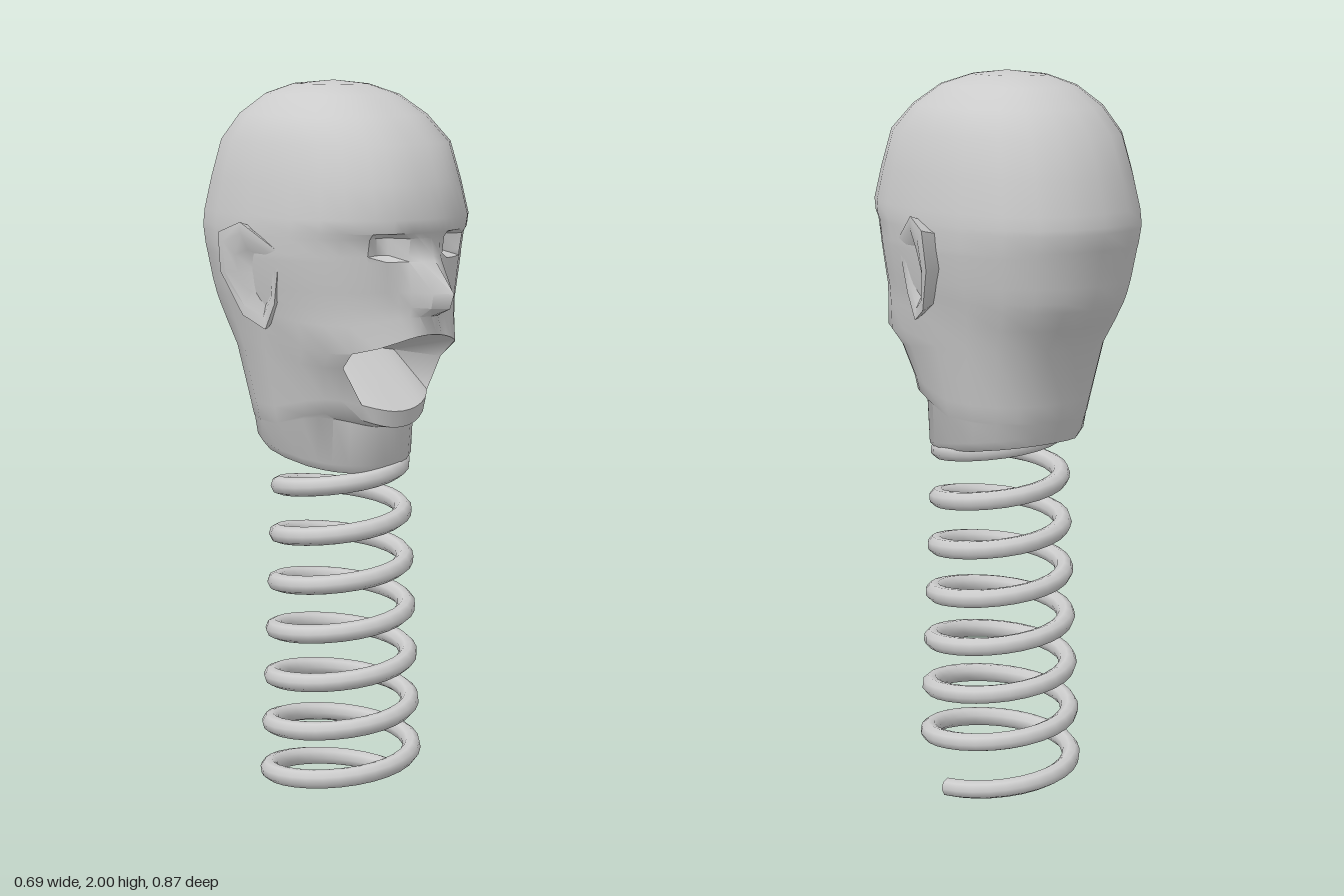
import * as THREE from 'three';
import { toCreasedNormals } from 'three/addons/utils/BufferGeometryUtils.js';

const material = new THREE.MeshStandardMaterial({ color: 0xcccccc, side: THREE.DoubleSide });

// Skin a list of closed loops with equal point counts
function loft(loops, crease) {
  const n = loops[0].length, index = [];
  for (let j = 0; j < loops.length - 1; j++) {
    for (let i = 0; i < n; i++) {
      const k = (i + 1) % n, a = j * n, b = a + n;
      index.push(a + i, b + i, b + k, a + i, b + k, a + k);
    }
  }
  const geo = new THREE.BufferGeometry();
  geo.setAttribute('position', new THREE.Float32BufferAttribute(loops.flat(2), 3));
  geo.setIndex(index);
  return toCreasedNormals(geo, crease);
}

function addMesh(parent, name, geometry) {
  const mesh = new THREE.Mesh(geometry, material);
  mesh.name = name;
  parent.add(mesh);
  return mesh;
}

// Column angles around the head, denser across the face
const half = [0, 5, 9, 14, 20, 30, 44, 56, 70, 90, 110, 130, 147, 164];
const columns = [
  ...half.map((a, i) => [a, i]), [180, 14],
  ...half.slice(1).map((a, i) => [360 - a, i + 1]).reverse(),
];

// Head rings, top to bottom: half width, front z, back z, then face features
const rings = [
  { y: 2.0, w: 0.001, f: -0.039, b: -0.041 },
  { y: 1.99, w: 0.09, f: 0.05, b: -0.16 },
  { y: 1.963, w: 0.16, f: 0.14, b: -0.24 },
  { y: 1.91, w: 0.225, f: 0.22, b: -0.31 },
  { y: 1.84, w: 0.265, f: 0.3, b: -0.37 },
  { y: 1.74, w: 0.285, f: 0.335, b: -0.405 },
  { y: 1.65, w: 0.3, f: 0.36, b: -0.43 },
  { y: 1.615, w: 0.302, f: 0.35, b: -0.435, nose: 0.005 },
  { y: 1.6, w: 0.302, f: 0.335, b: -0.435, nose: 0.01, eye: 0.05 },
  { y: 1.555, w: 0.3, f: 0.325, b: -0.425, nose: 0.03, eye: 0.04 },
  { y: 1.54, w: 0.298, f: 0.325, b: -0.42, nose: 0.04 },
  { y: 1.46, w: 0.283, f: 0.32, b: -0.405, nose: 0.115 },
  { y: 1.42, w: 0.273, f: 0.32, b: -0.395, nose: 0.1 },
  { y: 1.395, w: 0.266, f: 0.325, b: -0.385, nose: 0.025, bend: -0.8 },
  { y: 1.345, w: 0.255, f: 0.34, b: -0.355, bend: -1.8 },
  { y: 1.28, w: 0.242, f: 0.28, b: -0.31, bend: -1, mouth: 0.06 },
  { y: 1.13, w: 0.212, f: 0.24, b: -0.272, bend: 2 },
  { y: 1.085, w: 0.203, f: 0.232, b: -0.262, bend: 2.5 },
  { y: 1.08, w: 0.2, f: 0.18, b: -0.26, bend: 2 },
  { y: 1.01, w: 0.198, f: 0.17, b: -0.245, tilt: 0.16 },
  { y: 0.985, w: 0.175, f: 0.16, b: -0.235, tilt: 0.16 },
  { y: 1.01, w: 0.155, f: 0.13, b: -0.2, tilt: 0.1 },
  { y: 1.1, w: 0.15, f: 0.12, b: -0.19 },
  { y: 1.12, w: 0.001, f: -0.039, b: -0.041 },
];

function headGeometry() {
  const noseShape = [1, 0.65, 0.15];
  const power = (v) => Math.sign(v) * Math.abs(v) ** 0.87;
  const mid = -0.04;
  const loops = rings.map((r) => columns.map(([deg, i]) => {
    const a = THREE.MathUtils.degToRad(deg), c = power(Math.cos(a));
    const x = r.w * power(Math.sin(a));
    let z = mid + c * (c > 0 ? r.f - mid : mid - r.b);
    z += (r.nose || 0) * (noseShape[i] || 0);
    if (r.eye && (i === 3 || i === 4)) z -= r.eye;
    if (r.mouth && i < 6) z = r.mouth;
    const y = r.y + (r.bend || 0) * x * x * Math.max(0, Math.cos(a)) - (r.tilt || 0) * (z - mid);
    return [x, y, z];
  }));
  return loft(loops, 0.95);
}

// Ear: outline in z and y, flared away from the head toward the back
function earGeometry() {
  const outline = [[-0.04, 1.635], [-0.11, 1.605], [-0.115, 1.5], [-0.06, 1.385],
    [0.005, 1.35], [0.04, 1.42], [0.07, 1.56]];
  const cz = -0.025, cy = 1.5;
  const loop = (scale, dx, flat) => outline.map(([z, y]) => {
    const rim = 0.29 + (0.07 - z) * 0.31 + (y - 1.6) * 0.12;
    return [(flat ?? rim) + dx, cy + (y - cy) * scale, cz + (z - cz) * scale];
  });
  return loft([loop(0.75, 0, 0.23), loop(0.97, -0.012), loop(1, 0),
    loop(0.78, 0), loop(0.45, -0.02), loop(0.01, 0, 0.283)], 0.8);
}

// Spring: helix that narrows as it rises into the neck
class Helix extends THREE.Curve {
  getPoint(t, target = new THREE.Vector3()) {
    const turns = 7.6, a = t * turns * Math.PI * 2 + 0.1;
    const r = 0.204 - 0.042 * t;
    return target.set(r * Math.cos(a) - 0.005, 0.03 + t * turns * 0.1355, -r * Math.sin(a) - 0.005);
  }
}

export function createModel() {
  const model = new THREE.Group();
  model.name = 'springHead';

  addMesh(model, 'head', headGeometry());

  const ear = earGeometry();
  addMesh(model, 'leftEar', ear);
  addMesh(model, 'rightEar', ear).scale.x = -1;

  const spring = new THREE.Group();
  spring.name = 'spring';
  const path = new Helix();
  addMesh(spring, 'coil', new THREE.TubeGeometry(path, 200, 0.026, 8));
  // Closed wire end
  const end = addMesh(spring, 'wireEnd', new THREE.CircleGeometry(0.026, 8));
  end.position.copy(path.getPoint(0));
  end.lookAt(path.getPoint(0).sub(path.getTangent(0)));
  model.add(spring);

  return model;
}
